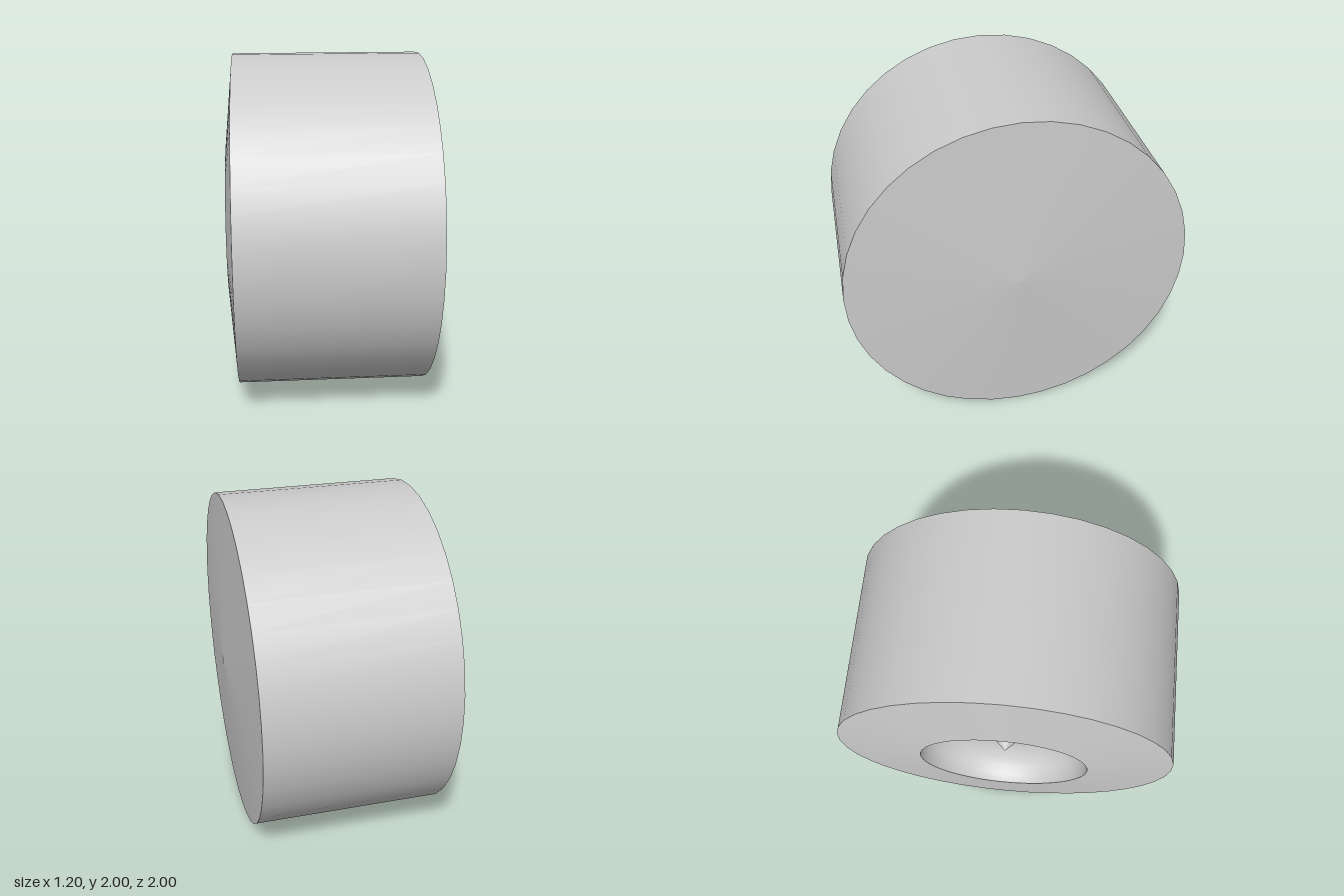
import * as THREE from 'three';

const SIDES = 40;

export function createModel() {
  const model = new THREE.Group();
  model.name = 'wheel';
  const material = new THREE.MeshStandardMaterial({ color: 0xcccccc });

  // Revolves [radius, x] points about the x axis; separate bands keep the rims sharp.
  function band(name, points) {
    const geometry = new THREE.LatheGeometry(points.map(([r, x]) => new THREE.Vector2(r, x)), SIDES);
    geometry.rotateZ(-Math.PI / 2);
    const mesh = new THREE.Mesh(geometry, material);
    mesh.name = name;
    mesh.position.y = 1;
    model.add(mesh);
  }

  // Rounded hollow: flat floor curving out to a steep wall at the rim
  const hollow = [[0.125, -0.4]];
  for (let i = 0; i <= 6; i++) {
    const a = (i / 6) * Math.PI / 2;
    hollow.push([0.22 + 0.28 * Math.sin(a), -0.6 + 0.2 * Math.cos(a)]);
  }

  band('hubSpike', [[0, -0.52], [0.125, -0.4]]);
  band('hubHollow', hollow);
  band('outerFace', [[0.5, -0.6], [1, -0.55]]);
  band('tread', [[1, -0.55], [1, 0.55]]);
  band('innerFace', [[1, 0.55], [0, 0.6]]);

  return model;
}
